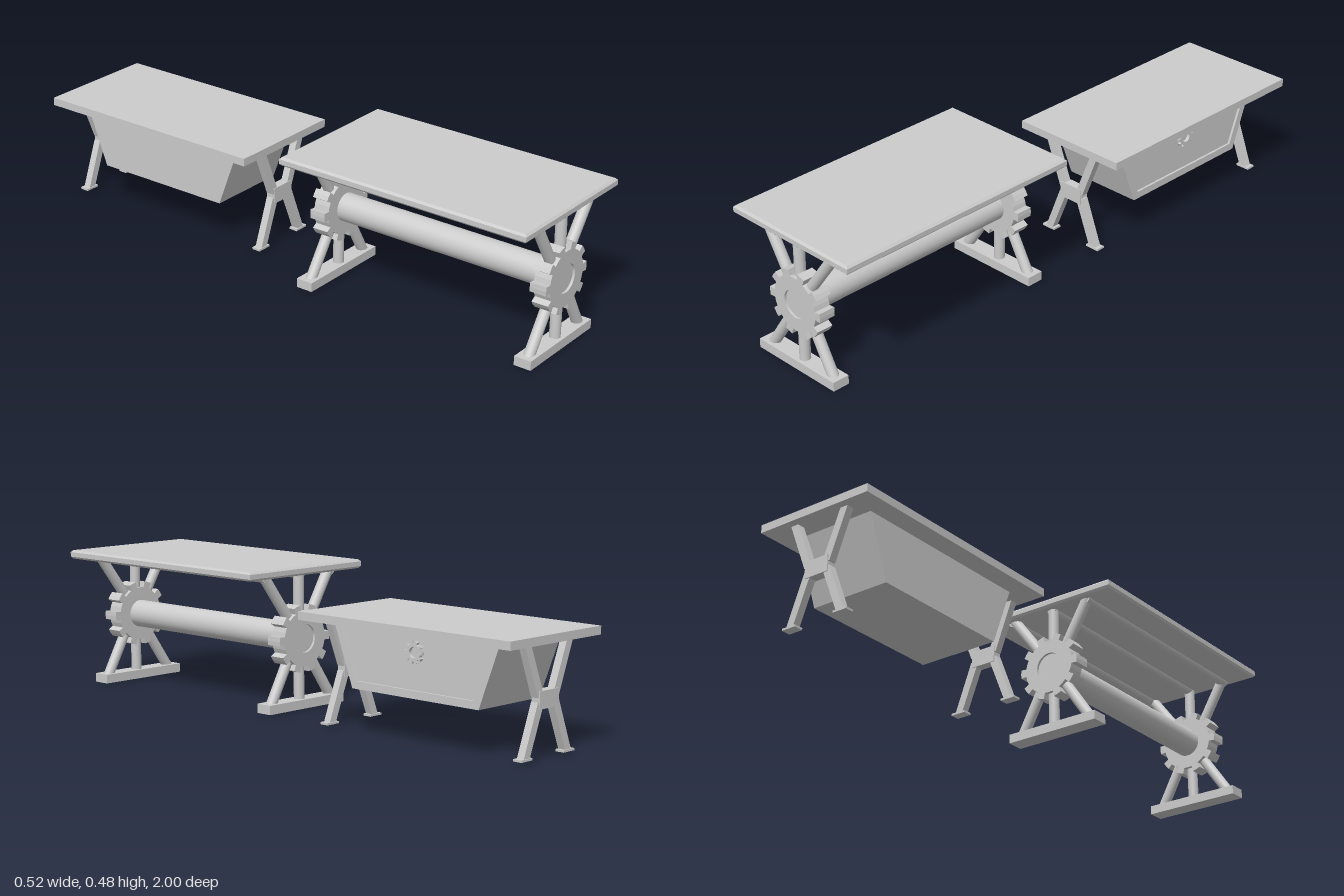
import * as THREE from 'three';

const mat = new THREE.MeshStandardMaterial({ color: 0xcccccc });

function add(parent, name, geo) {
  const m = new THREE.Mesh(geo, mat);
  m.name = name;
  parent.add(m);
  return m;
}

function box(parent, name, x0, x1, y0, y1, z0, z1) {
  const m = add(parent, name, new THREE.BoxGeometry(x1 - x0, y1 - y0, z1 - z0));
  m.position.set((x0 + x1) / 2, (y0 + y1) / 2, (z0 + z1) / 2);
  return m;
}

// Round rod between two points
function rod(parent, name, a, b, r, sides = 24) {
  const p = new THREE.Vector3(...a), q = new THREE.Vector3(...b);
  const m = add(parent, name, new THREE.CylinderGeometry(r, r, p.distanceTo(q), sides));
  m.position.copy(p).add(q).multiplyScalar(0.5);
  m.quaternion.setFromUnitVectors(new THREE.Vector3(0, 1, 0), q.sub(p).normalize());
  return m;
}

const polygon = (pts) => new THREE.Shape(pts.map(([x, y]) => new THREE.Vector2(x, y)));

// Cog outline with a round hole, extruded and centred on its thickness
function cogGeometry(teeth, root, tip, hole, depth, share) {
  const pts = [], step = (Math.PI * 2) / teeth, half = (step * share) / 2;
  for (let i = 0; i < teeth; i++) {
    const c = i * step;
    const at = (r, t) => pts.push([r * Math.cos(t), r * Math.sin(t)]);
    at(root, c - half);
    for (const k of [-1, 0, 1]) at(tip, c + half * 0.92 * k);
    at(root, c + half);
    at(root, c + step / 2);
  }
  const shape = polygon(pts);
  shape.holes.push(new THREE.Path().absarc(0, 0, hole, 0, Math.PI * 2, true));
  const g = new THREE.ExtrudeGeometry(shape, { depth, bevelEnabled: false, curveSegments: 24 });
  return g.translate(0, 0, -depth / 2);
}

// Table carried on two cog trestles joined by a thick axle
function cogTable() {
  const g = new THREE.Group();
  g.name = 'cogTable';
  const cx = -0.006, cy = 0.237, b = 0.007;

  // Top with chamfered rim
  const x0 = -0.263 + b, x1 = 0.255 - b, z0 = 0.085 + b, z1 = 1 - b;
  const top = new THREE.ExtrudeGeometry(
    polygon([[x0, -z1], [x1, -z1], [x1, -z0], [x0, -z0]]),
    { depth: 0.03 - 2 * b, bevelThickness: b, bevelSize: b, bevelSegments: 1 });
  top.rotateX(-Math.PI / 2).translate(0, 0.451 + b, 0);
  add(g, 'top', top);

  const topEnds = [[-0.147, 126], [cx, 90], [0.157, 54]];
  const footEnds = [[-0.157, 234], [-0.008, 270], [0.126, 306]];
  const rim = (deg, z) => {
    const t = THREE.MathUtils.degToRad(deg);
    return [cx + 0.09 * Math.cos(t), cy + 0.09 * Math.sin(t), z];
  };

  for (const z of [0.962, 0.127]) {
    const trestle = new THREE.Group();
    trestle.name = 'trestle';
    g.add(trestle);
    add(trestle, 'cog', cogGeometry(10, 0.094, 0.115, 0.048, 0.058, 0.46)).position.set(cx, cy, z);
    for (const [x, deg] of topEnds) rod(trestle, 'upperSpoke', rim(deg, z), [x, 0.458, z], 0.018);
    for (const [x, deg] of footEnds) rod(trestle, 'lowerSpoke', rim(deg, z), [x, 0.02, z], 0.018);
    box(trestle, 'foot', -0.19, 0.157, 0, 0.031, z - 0.03, z + 0.03);
  }

  // Axle and the three rails under the top
  rod(g, 'axle', [cx, cy, 0.106], [cx, cy, 0.983], 0.0478, 40);
  for (const [x] of topEnds) rod(g, 'rail', [x, 0.453, 0.115], [x, 0.453, 0.975], 0.017);
  return g;
}

// Table with crossed legs and a tapered hanging chest
function chestTable() {
  const g = new THREE.Group();
  g.name = 'chestTable';
  const cx = 0.049;
  box(g, 'top', -0.165, 0.262, 0.353, 0.38, -1, -0.14);

  // Crossed leg frames
  for (const z of [-0.168, -0.96]) {
    const frame = new THREE.Group();
    frame.name = 'legFrame';
    frame.position.set(cx, 0, z);
    g.add(frame);
    box(frame, 'waist', -0.045, 0.045, 0.155, 0.21, -0.016, 0.016);
    for (const s of [-1, 1]) {
      const leg = (name, pts) => {
        const p = pts.map(([x, y]) => [x * s, y]);
        const geo = new THREE.ExtrudeGeometry(polygon(p), { depth: 0.026, bevelEnabled: false });
        add(frame, name, geo.translate(0, 0, -0.013));
      };
      leg('upperLeg', [[0.02, 0.19], [0.05, 0.19], [0.114, 0.355], [0.086, 0.355]]);
      leg('lowerLeg', [[0.084, 0.014], [0.112, 0.014], [0.05, 0.175], [0.02, 0.175]]);
      box(frame, 'footPlate', s * 0.1 - 0.026, s * 0.1 + 0.026, 0.008, 0.015, -0.016, 0.016);
    }
  }

  // Chest body, with a raised frame around the sunken side panel
  const outline = [[0.31, 0.147], [0.825, 0.147], [0.905, 0.355], [0.23, 0.355]];
  const inset = [[0.328, 0.172], [0.807, 0.172], [0.868, 0.33], [0.267, 0.33]];
  const slab = (name, shape, x, depth) => {
    const geo = new THREE.ExtrudeGeometry(shape, { depth, bevelEnabled: false });
    add(g, name, geo.rotateY(Math.PI / 2).translate(x, 0, 0));
  };
  slab('chestBody', polygon(outline), -0.095, 0.28);
  const border = polygon(outline);
  border.holes.push(polygon(inset));
  slab('panelFrame', border, 0.185, 0.008);

  // Small toothed ring on the panel
  const ring = add(g, 'panelRing', cogGeometry(10, 0.028, 0.035, 0.017, 0.012, 0.5));
  ring.rotation.y = Math.PI / 2;
  ring.position.set(0.19, 0.29, -0.567);
  return g;
}

export function createModel() {
  const model = new THREE.Group();
  model.name = 'tables';
  model.add(cogTable(), chestTable());
  return model;
}
